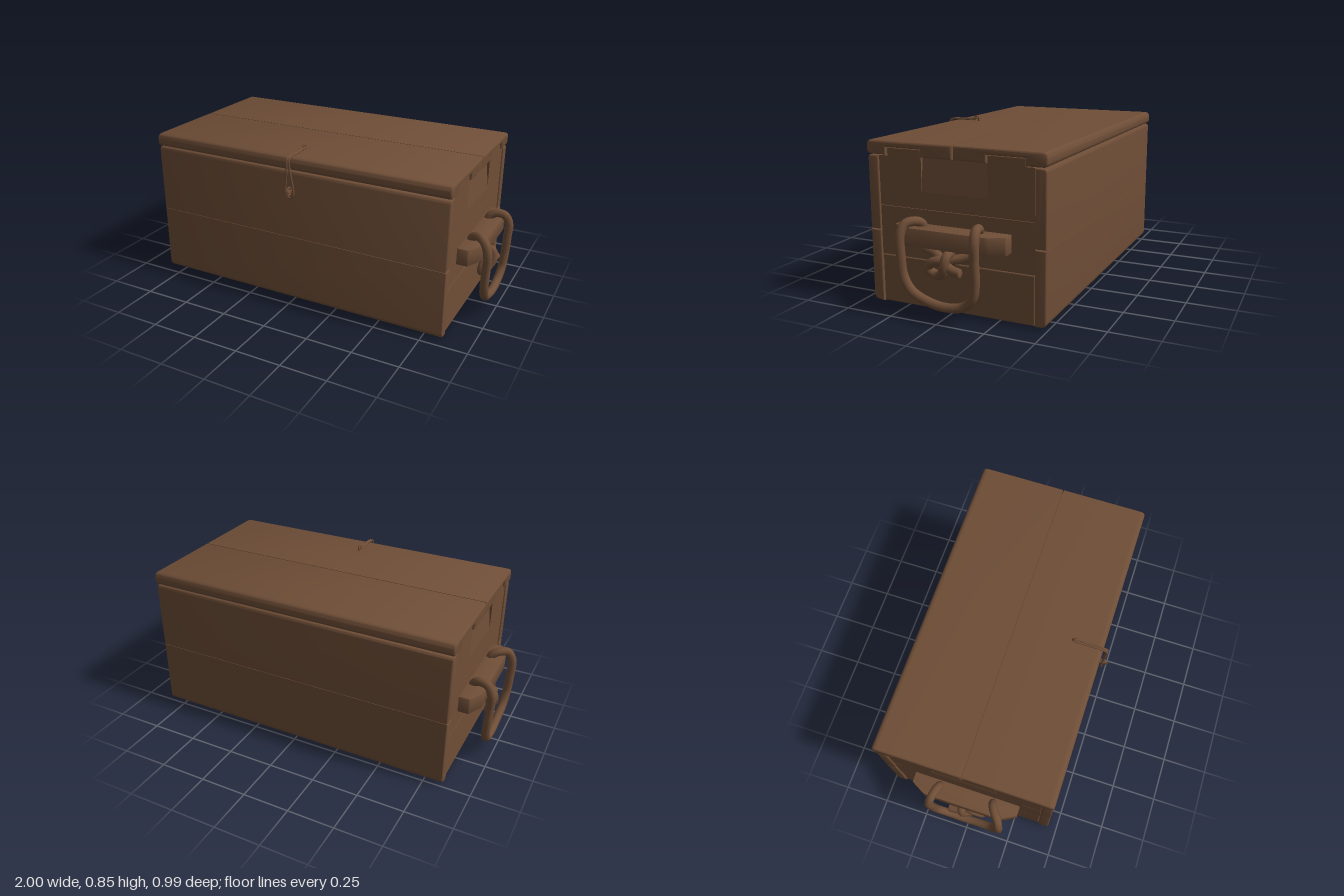
import * as THREE from 'three';
import { toCreasedNormals } from 'three/addons/utils/BufferGeometryUtils.js';
import { RoundedBoxGeometry } from 'three/addons/geometries/RoundedBoxGeometry.js';

const wood = new THREE.MeshStandardMaterial({ color: 0x6f4e37 });
wood.name = 'brown wood';
const MID = -0.02; // z of the chest's own middle

function add(parent, name, geometry) {
  const mesh = new THREE.Mesh(geometry, wood);
  mesh.name = name;
  parent.add(mesh);
  return mesh;
}

// Outline with corners [x, y, radius]; radius 0 keeps the corner sharp
function outline(corners) {
  const shape = new THREE.Shape();
  const n = corners.length;
  corners.forEach(([x, y, r], i) => {
    const p = new THREE.Vector2(x, y);
    const toward = (c) => new THREE.Vector2(c[0], c[1]).sub(p).setLength(r).add(p);
    const a = toward(corners[(i + n - 1) % n]);
    const b = toward(corners[(i + 1) % n]);
    if (i === 0) shape.moveTo(a.x, a.y); else shape.lineTo(a.x, a.y);
    if (r > 0) shape.quadraticCurveTo(x, y, b.x, b.y);
  });
  shape.closePath();
  return shape;
}

// Long board running along x; profile is [distance from middle, y, radius], side is +1 front, -1 back
function plank(profile, side, halfLength, bevel) {
  const shape = outline(profile.map(([d, y, r]) => [-side * d, y, r]));
  const depth = 2 * (halfLength - bevel);
  const geo = new THREE.ExtrudeGeometry(shape, {
    depth, curveSegments: 5, bevelEnabled: true, bevelThickness: bevel,
    bevelSize: bevel, bevelOffset: -bevel, bevelSegments: 4,
  });
  geo.translate(0, 0, -depth / 2).rotateY(Math.PI / 2).translate(0, 0, MID);
  return toCreasedNormals(geo, 0.7);
}

function box(x0, x1, y0, y1, z0, z1) {
  return new THREE.BoxGeometry(x1 - x0, y1 - y0, z1 - z0)
    .translate((x0 + x1) / 2, (y0 + y1) / 2, (z0 + z1) / 2);
}

function tube(points, radius, segments, closed = false) {
  const curve = new THREE.CatmullRomCurve3(points.map((p) => new THREE.Vector3(...p)), closed);
  return new THREE.TubeGeometry(curve, segments, radius, 10, closed);
}

function buildEnd(side) {
  const end = new THREE.Group();
  end.name = side > 0 ? 'leftEnd' : 'rightEnd';
  const slab = (name, y0, y1, d0, d1) => add(end, name,
    box(Math.min(side * 0.79, side * 0.842), Math.max(side * 0.79, side * 0.842), y0, y1, MID + d0, MID + d1));

  // Horizontal end boards
  add(end, 'lowerEndBoard', new RoundedBoxGeometry(0.052, 0.244, 0.82, 3, 0.006)
    .translate(side * 0.816, 0.127, MID));
  slab('middleEndBoard', 0.251, 0.498, -0.41, 0.41);
  slab('upperEndBoard', 0.5, 0.585, -0.41, 0.41);
  slab('upperEndBoardFront', 0.585, 0.746, 0.175, 0.41);
  slab('upperEndBoardBack', 0.585, 0.746, -0.41, -0.175);
  // Shallow sloped relief between the lid battens
  const relief = slab('endRelief', 0.585, 0.75, -0.175, 0.175).geometry;
  const pos = relief.attributes.position;
  for (let i = 0; i < pos.count; i++) {
    if (pos.getY(i) > 0.7 && Math.abs(pos.getX(i)) > 0.82) pos.setX(i, side * 0.825);
  }
  relief.computeVertexNormals();

  // Cleat with chamfered outer corners
  const cleatShape = outline([
    [side * 0.838, -0.295, 0], [side * 0.897, -0.295, 0.006], [side * 0.94, -0.215, 0.01],
    [side * 0.94, 0.215, 0.01], [side * 0.897, 0.295, 0.006], [side * 0.838, 0.295, 0],
  ]);
  const cleat = new THREE.ExtrudeGeometry(cleatShape, {
    depth: 0.08, bevelThickness: 0.005, bevelSize: 0.005, bevelOffset: -0.005, bevelSegments: 2,
  });
  cleat.rotateX(Math.PI / 2).translate(0, 0.425, MID);
  add(end, 'cleat', toCreasedNormals(cleat, 0.6));

  // Rope handle: over the cleat, down in a loop, and knotted behind it
  const rope = [
    [0.945, 0.245, -0.1], [0.94, 0.255, -0.05], [0.915, 0.275, 0], [0.885, 0.305, 0.06],
    [0.868, 0.325, 0.13], [0.866, 0.385, 0.14], [0.873, 0.435, 0.135], [0.905, 0.457, 0.15],
    [0.95, 0.45, 0.185], [0.975, 0.4, 0.197], [0.975, 0.3, 0.196], [0.97, 0.2, 0.187],
    [0.965, 0.13, 0.145], [0.96, 0.088, 0.06], [0.96, 0.075, -0.03], [0.96, 0.09, -0.12],
    [0.965, 0.14, -0.175], [0.97, 0.22, -0.192], [0.975, 0.32, -0.192], [0.975, 0.41, -0.194],
    [0.95, 0.452, -0.187], [0.905, 0.457, -0.178], [0.873, 0.435, -0.168], [0.866, 0.385, -0.165],
    [0.868, 0.325, -0.155], [0.88, 0.302, -0.1], [0.9, 0.29, -0.04],
    [0.925, 0.285, 0.02], [0.925, 0.268, 0.065], [0.92, 0.235, 0.08], [0.918, 0.213, 0.04],
    [0.935, 0.225, 0], [0.952, 0.265, -0.02], [0.942, 0.31, -0.027], [0.9, 0.32, -0.025],
    [0.885, 0.285, -0.01], [0.89, 0.25, 0.01],
  ].map(([x, y, z]) => [side * x, y, z]);
  add(end, 'ropeHandle', tube(rope, 0.023, 200));
  // Cut end of the rope
  const tip = add(end, 'ropeTip', new THREE.SphereGeometry(0.023, 10, 8).scale(1, 1, 0.3));
  tip.position.set(...rope[0]);
  return end;
}

export function createModel() {
  const chest = new THREE.Group();
  chest.name = 'chest';

  for (const side of [1, -1]) {
    const label = side > 0 ? 'front' : 'back';

    // Front and back boards, two high, rounded on the outer edges
    add(chest, label + 'LowerBoard', plank([
      [0.412, 0.005, 0], [0.47, 0.005, 0.03], [0.47, 0.374, 0], [0.412, 0.374, 0],
    ], side, 0.85, 0.008));
    add(chest, label + 'UpperBoard', plank([
      [0.412, 0.376, 0], [0.47, 0.376, 0], [0.47, 0.746, 0.018], [0.412, 0.746, 0],
    ], side, 0.85, 0.008));

    // Lid board, notched underneath, and the batten set in the notch
    add(chest, label + 'LidBoard', plank([
      [0.002, 0.75, 0], [0.175, 0.75, 0], [0.175, 0.787, 0], [0.365, 0.787, 0], [0.365, 0.75, 0],
      [0.475, 0.75, 0.025], [0.475, 0.82, 0.03], [0.002, 0.82, 0],
    ], side, 0.855, 0.012));
    const batten = add(chest, label + 'LidBatten', new RoundedBoxGeometry(1.684, 0.06, 0.188, 2, 0.004));
    batten.position.set(0, 0.756, MID + side * 0.27);

    chest.add(buildEnd(side));
  }

  // Bottom board, set up a little inside the walls
  add(chest, 'bottomBoard', box(-0.82, 0.82, 0.012, 0.05, MID - 0.415, MID + 0.415));
  for (const x of [-0.68, 0.68]) add(chest, 'bottomFoot', box(x - 0.16, x + 0.16, 0, 0.02, MID + 0.412, MID + 0.435));

  // Lid fastening: a cord loop hanging over the front edge to a ring
  const fastening = new THREE.Group();
  fastening.name = 'fastening';
  const strand = [
    [0.005, 0.835, 0.3], [0.005, 0.828, 0.36], [0.005, 0.826, 0.45], [0.006, 0.815, 0.475],
    [0.009, 0.76, 0.476], [0.018, 0.69, 0.47], [0.024, 0.64, 0.468], [0.017, 0.612, 0.467],
  ];
  const mirrored = strand.map(([x, y, z]) => [-x, y, z]).reverse();
  add(fastening, 'cordLoop', tube([...strand, [0, 0.606, 0.467], ...mirrored], 0.0055, 120, true));
  const ring = (name, y, z, r) => add(fastening, name,
    new THREE.TorusGeometry(r, 0.005, 8, 20).rotateY(Math.PI / 2).translate(0, y, z));
  ring('lidRing', 0.83, 0.305, 0.016);
  ring('frontRing', 0.643, 0.473, 0.021);
  add(fastening, 'ringPin', box(-0.006, 0.006, 0.638, 0.648, 0.44, 0.492));
  chest.add(fastening);

  return chest;
}
